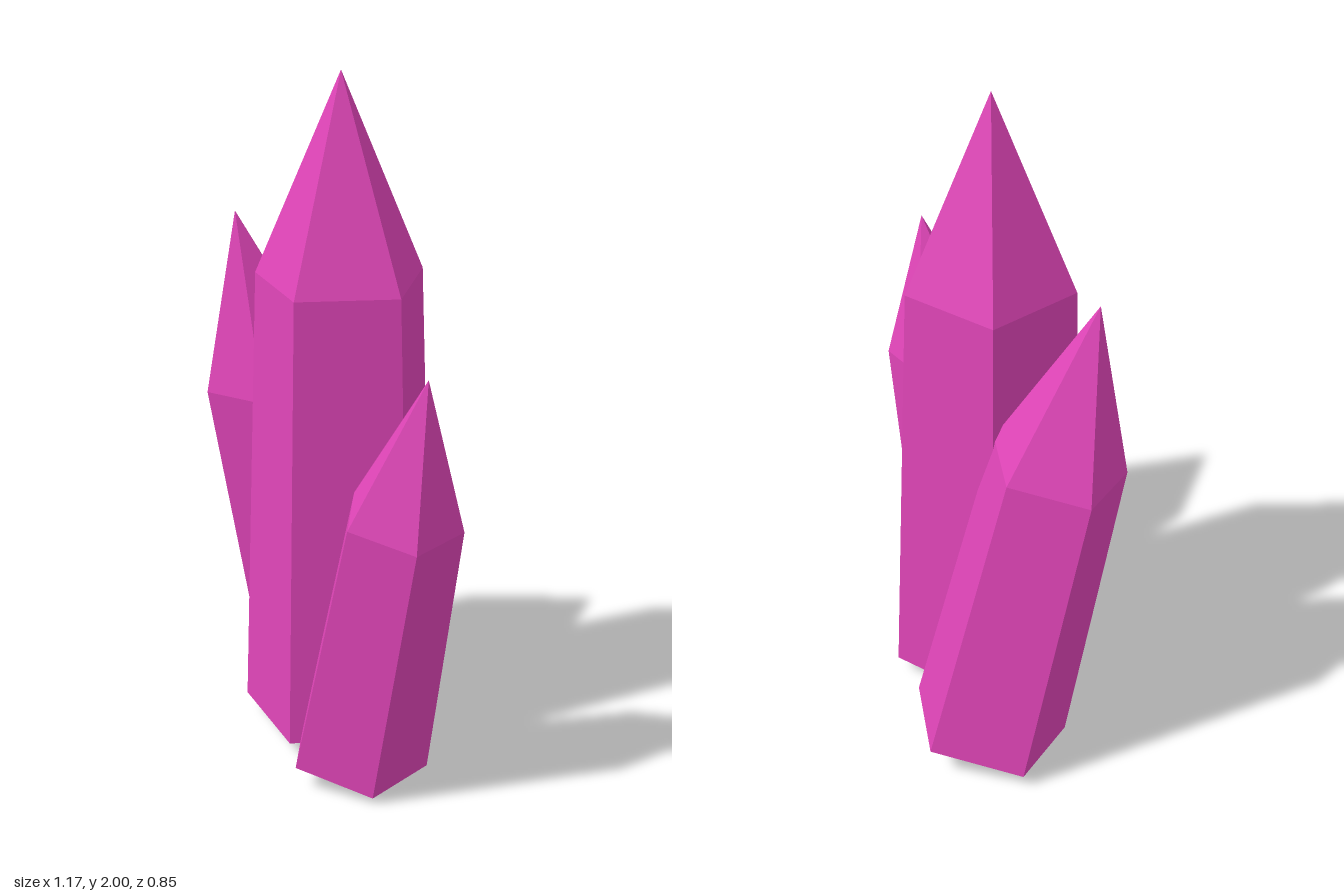
import * as THREE from 'three';

const SIDES = 5;
const TAPER = 0.85; // shoulder radius relative to base radius

// One pointed five-sided crystal from its base centre to its tip.
// corner: direction from the axis towards one corner of the base.
function crystal(name, material, { base, tip, radius, shoulder, corner }) {
  const start = new THREE.Vector3(...base);
  const axis = new THREE.Vector3(...tip).sub(start);
  const length = axis.length();

  const profile = [
    [0, 0],
    [radius, 0],
    [radius * TAPER, length * shoulder],
    [0, length],
  ].map(([r, y]) => new THREE.Vector2(r, y));
  const mesh = new THREE.Mesh(new THREE.LatheGeometry(profile, SIDES), material);
  mesh.name = name;

  // Lean the crystal along its axis and turn one corner to face the given direction
  const up = axis.normalize();
  const right = new THREE.Vector3().crossVectors(up, new THREE.Vector3(...corner)).normalize();
  const forward = new THREE.Vector3().crossVectors(right, up);
  mesh.quaternion.setFromRotationMatrix(new THREE.Matrix4().makeBasis(right, up, forward));
  mesh.position.copy(start);
  return mesh;
}

export function createModel() {
  const group = new THREE.Group();
  group.name = 'crystalCluster';

  const pink = new THREE.MeshStandardMaterial({ color: 0xe045b8, flatShading: true });
  pink.name = 'crystalPink';

  group.add(
    // Tall upright centre crystal
    crystal('mainCrystal', pink, {
      base: [-0.01, 0.053, 0.042], tip: [-0.01, 2, 0.042],
      radius: 0.297, shoulder: 0.692, corner: [1, 0, 0],
    }),
    // Medium crystal behind on the right, leaning forward
    crystal('rightCrystal', pink, {
      base: [-0.312, 0.05, -0.196], tip: [-0.43, 1.515, 0.09],
      radius: 0.241, shoulder: 0.643, corner: [-0.028, 0.047, -0.234],
    }),
    // Short crystal in front on the left, leaning outward
    crystal('leftCrystal', pink, {
      base: [0.257, 0.057, 0.217], tip: [0.525, 1.28, 0.198],
      radius: 0.206, shoulder: 0.643, corner: [-0.168, 0.041, 0.025],
    }),
  );
  return group;
}
